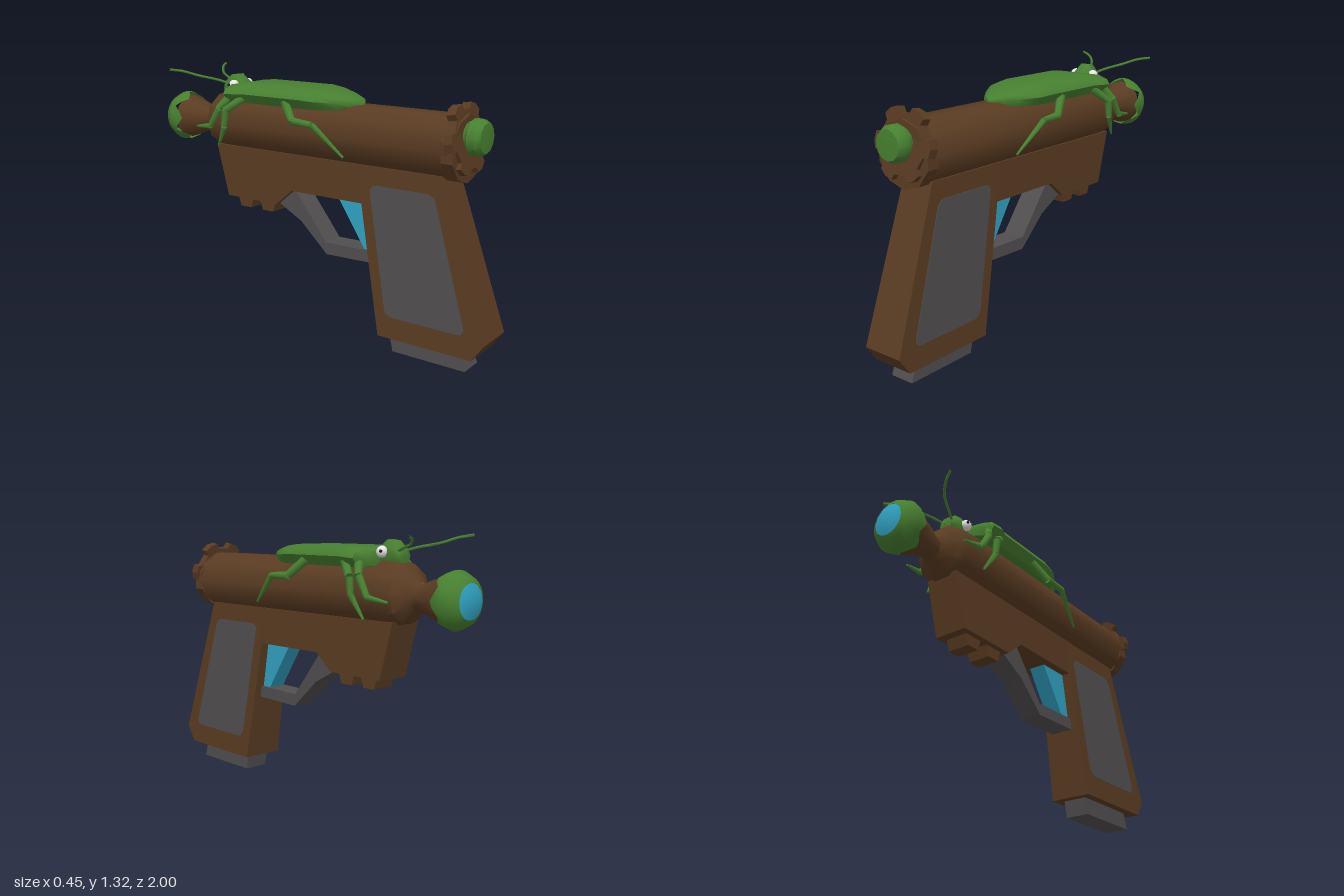
import * as THREE from 'three';
import { toCreasedNormals } from 'three/addons/utils/BufferGeometryUtils.js';

const mat = (name, color, side = THREE.FrontSide) => {
  const m = new THREE.MeshStandardMaterial({ color, side });
  m.name = name;
  return m;
};

export function createModel() {
  const model = new THREE.Group();
  const brown = mat('brown', 0x5a3c22), green = mat('green', 0x478030), grey = mat('grey', 0x514e4f);
  const cyan = mat('cyan', 0x31a3c2), white = mat('white', 0xe6e6e6), black = mat('black', 0x1c1c1c);

  const add = (name, geo, material, parent = model, crease = 0.7) => {
    const mesh = new THREE.Mesh(toCreasedNormals(geo, crease), material);
    mesh.name = name;
    parent.add(mesh);
    return mesh;
  };
  // side outline of [z, y] points, extruded across x to half width w
  const slab = (pts, w) => {
    const shape = pts instanceof THREE.Shape ? pts : new THREE.Shape(pts.map(p => new THREE.Vector2(...p)));
    return new THREE.ExtrudeGeometry(shape, { depth: 2 * w, bevelEnabled: false, curveSegments: 5 })
      .rotateY(-Math.PI / 2).translate(w, 0, 0);
  };
  // [radius, z] profile turned round the z axis at height y
  const turned = (pts, y, sides, start = 0) =>
    new THREE.LatheGeometry(pts.map(p => new THREE.Vector2(...p)), sides, start, Math.PI * 2)
      .rotateX(Math.PI / 2).translate(0, y, 0);
  // skin over rings of [x, y, z], ordered towards +z, anticlockwise from the front
  const loft = rings => {
    const n = rings[0].length, index = [];
    for (let i = 0; i < rings.length - 1; i++) for (let j = 0; j < n; j++) {
      const a = i * n + j, b = i * n + (j + 1) % n;
      index.push(a, b, b + n, a, b + n, a + n);
    }
    const geo = new THREE.BufferGeometry();
    geo.setAttribute('position', new THREE.Float32BufferAttribute(rings.flat(2), 3));
    geo.setIndex(index);
    return geo;
  };
  // tapered round limb between two points
  const limb = (a, b, ra, rb) => {
    const p = new THREE.Vector3(...a), q = new THREE.Vector3(...b), d = q.clone().sub(p);
    const geo = new THREE.CylinderGeometry(rb, ra, d.length(), 6);
    geo.applyQuaternion(new THREE.Quaternion().setFromUnitVectors(new THREE.Vector3(0, 1, 0), d.clone().normalize()));
    return geo.translate(...p.add(q).multiplyScalar(0.5).toArray());
  };

  // barrel, narrow neck and flared muzzle
  const axis = 1.04;
  add('barrel', turned([[0.055, -0.71], [0.085, -0.68], [0.138, -0.635], [0.15, -0.6], [0.155, -0.54],
    [0.155, 0.8], [0, 0.8]], axis + 0.005, 10, Math.PI / 10), brown);
  add('muzzleFlare', turned([[0, -0.9], [0.118, -0.885], [0.108, -0.85], [0.062, -0.72], [0.062, -0.69]], axis - 0.005, 12), brown);

  // green muzzle cap with a jagged edge, and its lens
  const ring = (r, z) => Array.from({ length: 24 }, (_, j) => {
    const a = j / 24 * Math.PI * 2;
    return [r(j) * Math.cos(a), axis - 0.005 + r(j) * Math.sin(a), z(j)];
  });
  const tooth = j => [-0.85, -0.875, -0.895, -0.865][j % 4];
  add('muzzleCap', loft([
    ring(() => 0.08, () => -0.984), ring(() => 0.108, () => -0.965), ring(() => 0.133, () => -0.915),
    ring(j => 0.113 + (-0.85 - tooth(j)) * 0.4, tooth),
  ]), mat('greenOpen', 0x478030, THREE.DoubleSide), model, 0.9);
  add('muzzleLens', turned([[0, -1], [0.05, -0.994], [0.082, -0.982]], axis - 0.005, 12), cyan);

  // rear collar, notched hammer wheel and knob
  add('rearCollar', turned([[0, 0.77], [0.158, 0.77], [0.158, 0.83], [0, 0.83]], axis + 0.003, 10), brown, model, 0.3);
  const gear = new THREE.Shape();
  for (let i = 0; i < 6; i++) {
    [[-0.3, 0.138], [-0.24, 0.167], [0, 0.172], [0.24, 0.167], [0.3, 0.138]].forEach(([da, r], k) => {
      const a = i * Math.PI / 3 + da;
      gear[i + k ? 'lineTo' : 'moveTo'](r * Math.cos(a), r * Math.sin(a));
    });
  }
  const wheel = add('hammerWheel', new THREE.ExtrudeGeometry(gear, { depth: 0.045, bevelEnabled: false }), brown, model, 0.3);
  wheel.position.set(0, 1.083, 0.79);
  wheel.rotation.x = -0.16;
  add('hammerKnob', turned([[0.065, 0.8], [0.07, 0.84], [0.086, 0.855], [0.086, 0.89], [0.07, 0.917], [0, 0.922]], 1.1, 12), green);

  // lower frame with two small lugs
  add('frame', slab([[0.32, 0.92], [0.32, 0.73], [-0.11, 0.73], [-0.21, 0.645], [-0.54, 0.645], [-0.615, 0.92]], 0.089), brown, model, 0.3);
  for (const z of [-0.293, -0.443]) {
    add('frameLug', slab([[z + 0.055, 0.65], [z + 0.035, 0.59], [z - 0.035, 0.59], [z - 0.055, 0.65]], 0.06), brown, model, 0.3);
  }

  // grip widening downwards, with inlaid side panels
  const flare = (geo, extra) => {
    const p = geo.attributes.position;
    for (let i = 0; i < p.count; i++) {
      p.setX(i, Math.sign(p.getX(i)) * (0.088 + (0.91 - p.getY(i)) * 0.027 + extra));
    }
    return geo;
  };
  add('grip', flare(slab([[0.745, 0.92], [1, 0.17], [0.94, 0.085], [0.435, 0.085], [0.285, 0.92]], 0.1), 0), brown, model, 0.3);
  const corners = [[0.71, 0.83], [0.905, 0.195], [0.475, 0.195], [0.36, 0.83]].map(p => new THREE.Vector2(...p));
  const panel = new THREE.Shape();
  corners.forEach((c, i) => {
    const before = c.clone().add(corners[(i + 3) % 4].clone().sub(c).setLength(0.045));
    const after = c.clone().add(corners[(i + 1) % 4].clone().sub(c).setLength(0.045));
    panel[i ? 'lineTo' : 'moveTo'](before.x, before.y);
    panel.quadraticCurveTo(c.x, c.y, after.x, after.y);
  });
  add('gripPanels', flare(slab(panel, 0.1), 0.003), grey, model, 0.3);
  add('gripBase', slab([[0.86, 0.09], [0.89, 0], [0.495, 0], [0.475, 0.09]], 0.065), grey, model, 0.3);

  // trigger and its guard
  add('trigger', slab([[0.34, 0.735], [0.145, 0.735], [0.31, 0.485], [0.38, 0.485]], 0.045), cyan, model, 0.3);
  add('triggerGuard', slab([[0.385, 0.49], [0.37, 0.43], [0.09, 0.423], [-0.07, 0.57], [-0.21, 0.645], [-0.11, 0.732],
    [0.085, 0.485]], 0.06), grey, model, 0.3);

  // insect lying on the barrel
  const bug = new THREE.Group();
  bug.name = 'insect';
  model.add(bug);
  // stations: z, half width, bottom, top
  const outline = [[-0.5, 0.002, 1.2, 1.21], [-0.495, 0.13, 1.17, 1.235], [-0.465, 0.195, 1.165, 1.25], [-0.4, 0.197, 1.165, 1.257],
    [-0.36, 0.18, 1.165, 1.26], [0, 0.178, 1.165, 1.26], [0.08, 0.165, 1.165, 1.25], [0.17, 0.11, 1.168, 1.235],
    [0.24, 0.055, 1.175, 1.22], [0.27, 0.002, 1.19, 1.2]];
  add('insectBody', loft(outline.map(([z, w, lo, hi]) => {
    const h = hi - lo;
    return [[1, 0.5], [0.92, 0.8], [0.65, 1], [-0.65, 1], [-0.92, 0.8], [-1, 0.5], [-0.8, 0], [0.8, 0]]
      .map(([u, v]) => [u * w, lo + v * h, z]);
  })), green, bug, 0.9);
  add('insectHead', loft([[-0.61, 0.004, 1.21, 1.22], [-0.605, 0.035, 1.18, 1.25], [-0.56, 0.05, 1.175, 1.285],
    [-0.52, 0.055, 1.175, 1.29], [-0.47, 0.06, 1.175, 1.25], [-0.44, 0.004, 1.2, 1.21]].map(([z, w, lo, hi]) =>
    [[1, 0.4], [0.9, 0.7], [0.45, 1], [-0.45, 1], [-0.9, 0.7], [-1, 0.4], [-0.6, 0], [0.6, 0]]
      .map(([u, v]) => [u * w, lo + v * (hi - lo), z]))), green, bug, 0.9);

  const legs = {
    rearLeg: [[0.15, 1.19, -0.1], [0.195, 1.11, -0.02], [0.2, 1.105, 0.1], [0.165, 0.96, 0.26]],
    middleLeg: [[0.15, 1.19, -0.37], [0.2, 1.125, -0.45], [0.2, 1.04, -0.46], [0.178, 0.935, -0.52]],
    frontLeg: [[0.15, 1.19, -0.46], [0.19, 1.13, -0.5], [0.195, 1.035, -0.56], [0.18, 1.02, -0.67]],
  };
  const radii = [0.024, 0.02, 0.016, 0.006];
  for (const s of [1, -1]) {
    const side = s > 0 ? 'left' : 'right';
    const flip = ([x, y, z]) => [s * x, y, z];
    for (const [name, pts] of Object.entries(legs)) {
      for (let i = 0; i < 3; i++) add(side + name, limb(flip(pts[i]), flip(pts[i + 1]), radii[i], radii[i + 1]), green, bug, 1.2);
    }
    // eye with a small pupil facing outwards
    add(side + 'Eye', new THREE.SphereGeometry(0.028, 10, 8).translate(s * 0.055, 1.235, -0.515), white, bug, 1);
    add(side + 'Pupil', new THREE.SphereGeometry(0.008, 6, 4).translate(s * 0.079, 1.238, -0.529), black, bug, 1);
    // curved antenna
    const path = new THREE.CatmullRomCurve3([[0.02, 1.235, -0.575], [0.05, 1.255, -0.64], [0.1, 1.275, -0.73], [0.16, 1.3, -0.785],
      [0.22, 1.31, -0.82]].map(p => new THREE.Vector3(...flip(p))));
    add(side + 'Antenna', new THREE.TubeGeometry(path, 10, 0.007, 5), green, bug, 1.3);
  }
  return model;
}
